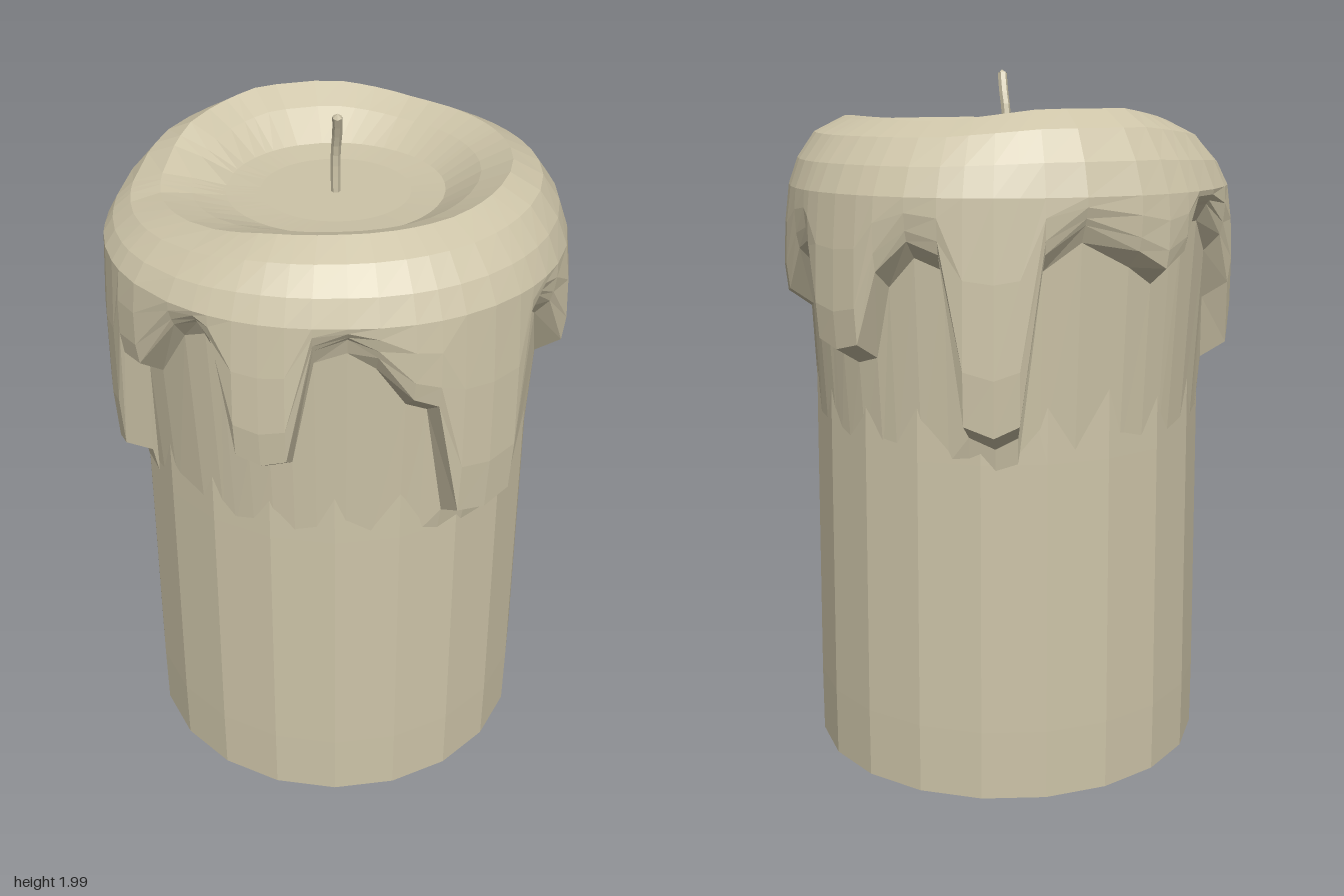
import * as THREE from 'three';

const { lerp, clamp, degToRad } = THREE.MathUtils;
const wax = new THREE.MeshStandardMaterial({ color: 0xcdc4a8, flatShading: true });
const DEPTH = 0.968; // the candle is slightly oval

// Lower edge of the melted wax: [degrees from the front towards +x, height]
const DRIPS = [
  [-172, 1.62], [-158, 1.55], [-150, 1.5], [-143, 1.54], [-138, 1.65], [-130, 1.65],
  [-120, 1.56], [-113, 1.42], [-108, 1.24], [-93, 1.24], [-89, 1.55], [-86, 1.55],
  [-81, 1.13], [-73, 1.1], [-65, 1.13], [-60, 1.45], [-52, 1.46], [-40, 1.62],
  [-33, 1.65], [-29, 1.6], [-23, 1.31], [-17, 1.29], [-11, 1.31], [-5, 1.62],
  [3, 1.65], [10, 1.6], [18, 1.48], [24, 1.45], [30, 1.11], [38, 1.09], [46, 1.11],
  [51, 1.58], [57, 1.63], [64, 1.58], [74, 1.41], [85, 1.39], [95, 1.41], [103, 1.53],
  [110, 1.56], [113, 1.5], [118, 1.31], [125, 1.29], [132, 1.31], [137, 1.5],
  [145, 1.58], [153, 1.55], [159, 1.12], [166, 1.09], [172, 1.12], [178, 1.55],
];

// Height of the rim round the pool: low on one side, high at the back
const RIM = [
  [-180, 1.9], [-150, 1.9], [-120, 1.865], [-100, 1.81], [-80, 1.79], [-45, 1.815],
  [-20, 1.85], [0, 1.86], [40, 1.86], [70, 1.875], [110, 1.87], [150, 1.87], [180, 1.9],
];

function sample(table, a) {
  const i = Math.max(1, table.findIndex(([t]) => t >= a));
  const [a0, v0] = table[i - 1];
  const [a1, v1] = table[i];
  return lerp(v0, v1, (a - a0) / (a1 - a0));
}

// Skin a closed loop of columns, each a list of [radius, height]
function skinColumns(angles, columns) {
  const position = [];
  const index = [];
  const rows = columns[0].length;
  columns.forEach((column, c) => {
    const a = degToRad(angles[c]);
    column.forEach(([r, y]) => position.push(r * Math.sin(a), y, r * Math.cos(a) * DEPTH));
    const next = (c + 1) % columns.length;
    for (let r = 0; r < rows - 1; r++) {
      const p = c * rows + r;
      const q = next * rows + r;
      if (r > 0) index.push(p, p + 1, q);
      index.push(p + 1, q + 1, q);
    }
  });
  const geometry = new THREE.BufferGeometry();
  geometry.setAttribute('position', new THREE.Float32BufferAttribute(position, 3));
  geometry.setIndex(index);
  geometry.computeVertexNormals();
  return geometry;
}

// Pool, rim, shoulder and dripping edge in one column
function waxColumn([angle, edge]) {
  const rim = sample(RIM, angle);
  const floor = 1.77;
  const shoulder = 1.69;
  const pool = (k) => lerp(floor, rim, k);
  const slope = (k) => lerp(shoulder, rim, k);
  // long drips are thicker than the arches, and the cap is fuller on the diagonals
  const bulge = clamp((1.66 - edge) / 0.25, 0, 1);
  const full = 0.016 * Math.abs(Math.sin(degToRad(2 * angle)));
  const low = 0.597 + 0.034 * bulge + full;
  const top = 0.612 + full;
  const drop = shoulder - edge;
  return [
    [0, floor], [0.2, floor], [0.29, pool(0.08)], [0.38, pool(0.65)], [0.46, pool(1)],
    [0.54, slope(0.78)], [0.587 + full / 2, slope(0.4)], [top, shoulder],
    [(top + low) / 2 + 0.004, shoulder - drop * 0.35],
    [low, shoulder - drop * 0.75], [low - 0.008, edge],
    // undercut, then a thin web of wax fading into the shaft
    [lerp(0.58, 0.562, bulge), edge - 0.045], [0.547, Math.min(1, edge - 0.13)],
  ];
}

export function createModel() {
  const group = new THREE.Group();
  const add = (name, geometry) => {
    const mesh = new THREE.Mesh(geometry, wax);
    mesh.name = name;
    group.add(mesh);
  };

  // Candle shaft with a bevelled foot
  const profile = [[0, 0.005], [0.48, 0.01], [0.566, 0.055], [0.566, 0.25], [0.556, 1], [0.545, 1.68]];
  const body = new THREE.LatheGeometry(profile.map(([r, y]) => new THREE.Vector2(r, y)), 20);
  body.scale(1, 1, DEPTH);
  add('candleBody', body);

  // Melted wax cap
  add('meltedWax', skinColumns(DRIPS.map(([a]) => a), DRIPS.map(waxColumn)));

  // Bent wick with a closed tip
  const path = new THREE.CatmullRomCurve3([
    new THREE.Vector3(0, 1.75, 0.012),
    new THREE.Vector3(0, 1.88, 0.012),
    new THREE.Vector3(0.004, 1.94, 0.028),
    new THREE.Vector3(0.004, 1.99, 0.048),
  ]);
  add('wick', new THREE.TubeGeometry(path, 8, 0.013, 6));
  const tip = new THREE.ConeGeometry(0.013, 0.012, 6);
  tip.rotateX(0.35);
  tip.translate(0.004, 1.994, 0.05);
  add('wickTip', tip);

  return group;
}
